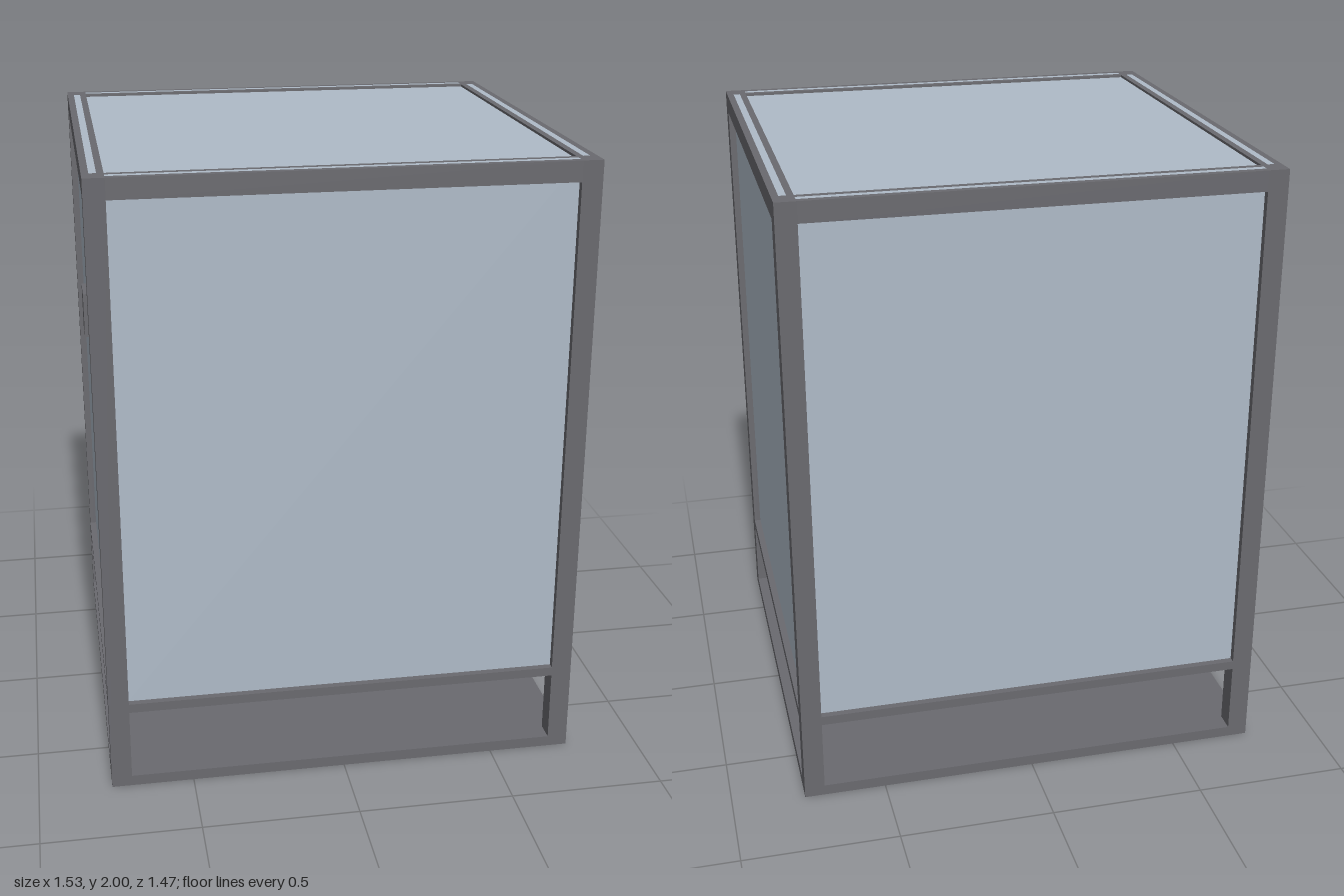
import * as THREE from 'three';

const HX = 0.765, HZ = 0.735, H = 2;   // outer half width, half depth, height
const POST = 0.065, BASE = 0.035;
const DECK_LOW = 0.27, DECK_TOP = 0.3;
const RAIL = 0.022;                    // thickness of each rail lip beside a panel

export function createModel() {
  const model = new THREE.Group();
  model.name = 'enclosure';

  const frameMat = new THREE.MeshStandardMaterial({ color: 0x6a6a6f });
  frameMat.name = 'grey frame';
  const panelMat = new THREE.MeshStandardMaterial({ color: 0xafbbc8 });
  panelMat.name = 'pale blue panel';
  const greenMat = new THREE.MeshStandardMaterial({ color: 0x407c5e });
  greenMat.name = 'green';

  // Box given by its minimum and maximum on every axis
  const box = (name, mat, [x0, x1], [y0, y1], [z0, z1]) => {
    const mesh = new THREE.Mesh(new THREE.BoxGeometry(x1 - x0, y1 - y0, z1 - z0), mat);
    mesh.position.set((x0 + x1) / 2, (y0 + y1) / 2, (z0 + z1) / 2);
    mesh.name = name;
    model.add(mesh);
    return mesh;
  };
  const span = (s, a, b) => (s > 0 ? [a, b] : [-b, -a]);
  const ix = HX - POST, iz = HZ - POST;

  // Base plate and chamber floor
  box('basePlate', frameMat, [-HX, HX], [0, BASE], [-HZ, HZ]);
  box('chamberFloor', frameMat, [-HX, HX], [DECK_LOW, DECK_TOP], [-HZ, HZ]);

  // Corner posts
  for (const sx of [-1, 1]) for (const sz of [-1, 1]) {
    box('cornerPost', frameMat, span(sx, ix, HX), [BASE, H], span(sz, iz, HZ));
  }

  // Each wall is a panel held between an outer and an inner top rail
  const top = [H - POST, H], wall = [DECK_TOP, H];
  for (const s of [-1, 1]) {
    box('outerRail', frameMat, [-ix, ix], top, span(s, HZ - RAIL, HZ));
    box('innerRail', frameMat, [-ix, ix], top, span(s, iz, HZ - 2 * RAIL));
    box(s > 0 ? 'frontPanel' : 'backPanel', panelMat, [-ix, ix], wall,
      span(s, HZ - 2 * RAIL, HZ - RAIL));
    box('outerRail', frameMat, span(s, HX - RAIL, HX), top, [-iz, iz]);
    box('innerRail', frameMat, span(s, ix, HX - 2 * RAIL), top, [-iz, iz]);
    box(s > 0 ? 'leftPanel' : 'rightPanel', panelMat, span(s, HX - 2 * RAIL, HX - RAIL),
      wall, [-iz, iz]);
  }
  box('topPanel', panelMat, [-ix, ix], [H - 0.03, H - 0.008], [-iz, iz]);

  // Small plate on the side wall
  box('wallPlate', frameMat, [-HX + 0.002, -HX + RAIL], [1.31, 1.46], [-0.085, 0.045]);

  // Units standing on the base plate
  box('supplyBox', panelMat, [-0.65, -0.12], [BASE, 0.235], [-0.365, -0.03]);
  box('controlBox', greenMat, [0.165, 0.63], [BASE, 0.14], [-0.33, 0]);
  const knob = new THREE.Mesh(new THREE.SphereGeometry(0.021, 24, 16), greenMat);
  knob.position.set(0.565, 0.114, 0.006);
  knob.name = 'knob';
  model.add(knob);

  return model;
}
